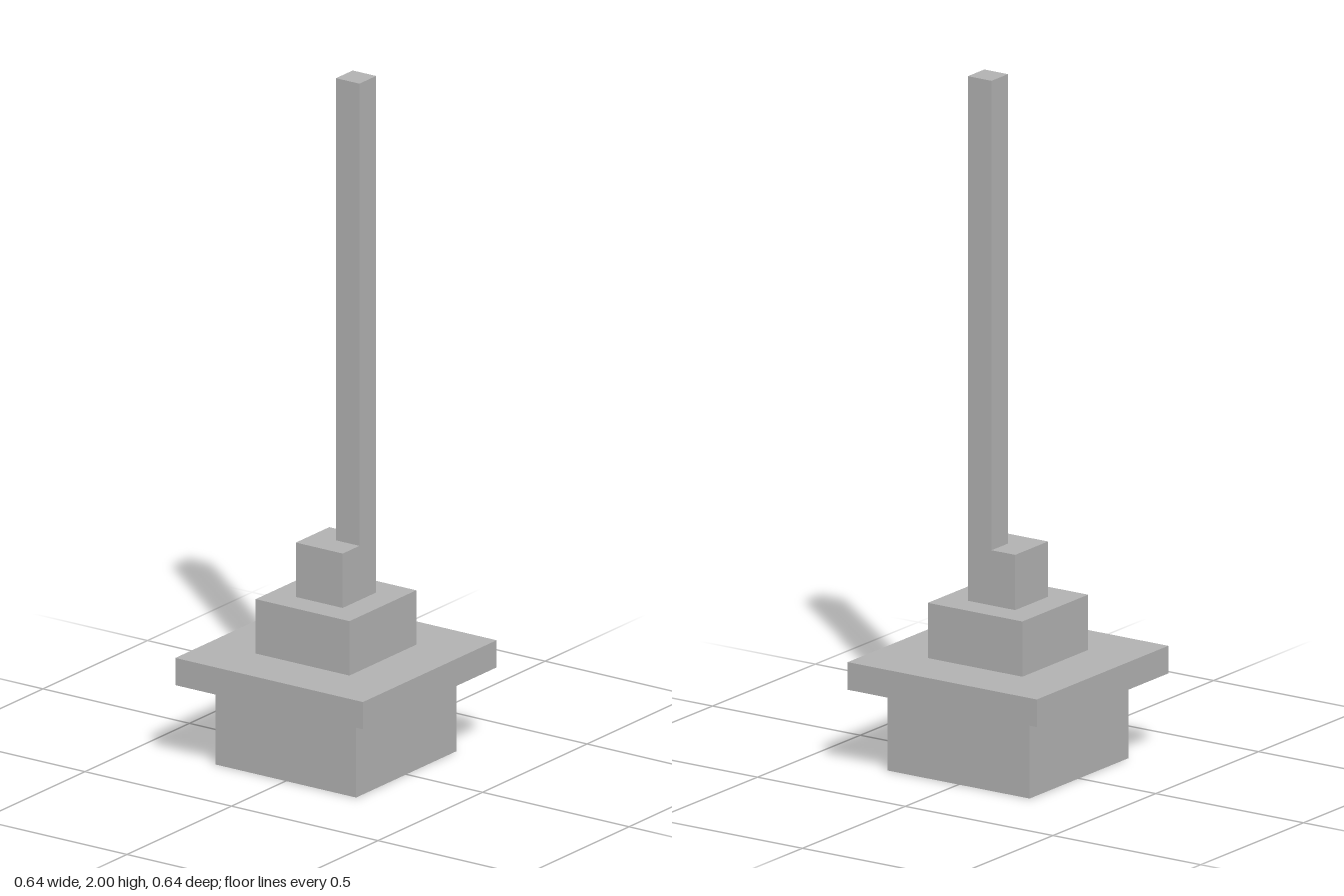
import * as THREE from 'three';

export function createModel() {
  const model = new THREE.Group();
  model.name = 'steppedSpire';

  const stone = new THREE.MeshStandardMaterial({ color: 0xb2b2b2 });
  stone.name = 'grey stone';

  // Adds a square block between two heights, centred at (x, z)
  function addBlock(name, width, bottom, top, x = 0, z = 0) {
    const block = new THREE.Mesh(new THREE.BoxGeometry(width, top - bottom, width), stone);
    block.name = name;
    block.position.set(x, (bottom + top) / 2, z);
    model.add(block);
  }

  addBlock('base', 0.48, 0, 0.24);
  addBlock('ledge', 0.64, 0.24, 0.32);
  addBlock('lowerStep', 0.32, 0.32, 0.48);
  addBlock('upperStep', 0.16, 0.48, 0.64);

  // The mast stands on the back left quarter of the upper step
  addBlock('mast', 0.08, 0.64, 2, 0.04, -0.04);

  return model;
}
